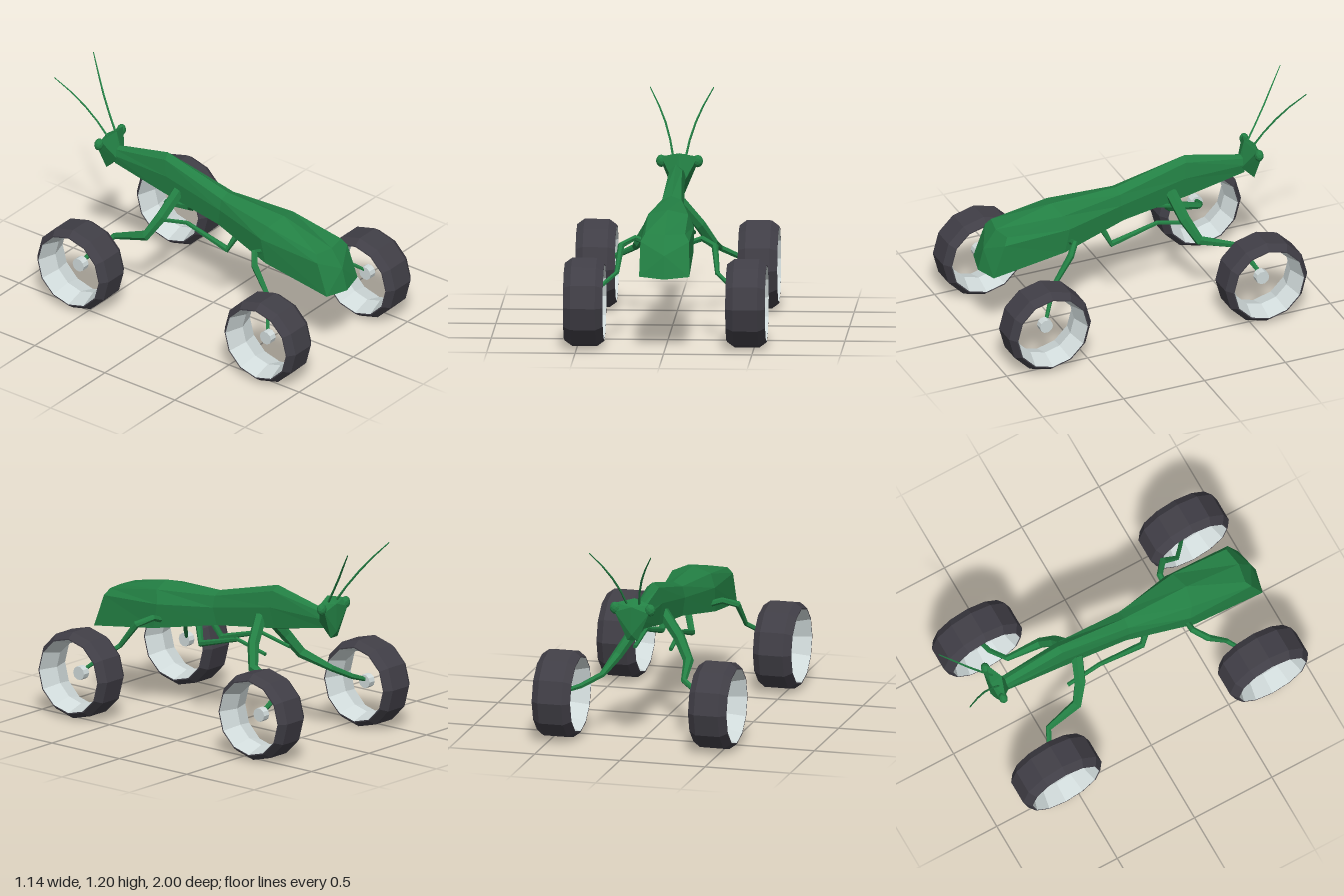
import * as THREE from 'three';
import { ConvexGeometry } from 'three/addons/geometries/ConvexGeometry.js';

const V = (x, y, z) => new THREE.Vector3(x, y, z);

// Faceted normals for a low-poly look
function facet(geo) {
  const g = geo.index ? geo.toNonIndexed() : geo;
  g.computeVertexNormals();
  return g;
}

function centroid(ring) {
  return ring.reduce((sum, p) => sum.add(p), V(0, 0, 0)).divideScalar(ring.length);
}

// Skin joining rings of points, closed with a fan at each end
function loft(rings, startTip = centroid(rings[0]), endTip = centroid(rings.at(-1))) {
  const tris = [];
  const n = rings[0].length;
  for (let i = 0; i < n; i++) {
    const j = (i + 1) % n;
    tris.push(startTip, rings[0][j], rings[0][i]);
    for (let k = 0; k < rings.length - 1; k++) {
      const a = rings[k], b = rings[k + 1];
      tris.push(a[i], a[j], b[j], a[i], b[j], b[i]);
    }
    tris.push(endTip, rings.at(-1)[i], rings.at(-1)[j]);
  }
  return facet(new THREE.BufferGeometry().setFromPoints(tris));
}

// Jointed limb: path entries are [x, y, z, radius], side is +1 or -1
function limb(path, side, sides = 6) {
  const pts = path.map(([x, y, z]) => V(x * side, y, z));
  let u = V(0.3, 0.2, 1);
  const rings = pts.map((p, i) => {
    const before = pts[Math.max(i - 1, 0)], after = pts[Math.min(i + 1, pts.length - 1)];
    const t = after.clone().sub(before).normalize();
    u = u.clone().addScaledVector(t, -u.dot(t)).normalize();
    const v = t.clone().cross(u);
    return Array.from({ length: sides }, (_, k) => {
      const a = (k / sides) * Math.PI * 2;
      return p.clone()
        .addScaledVector(u, Math.cos(a) * path[i][3])
        .addScaledVector(v, Math.sin(a) * path[i][3]);
    });
  });
  return loft(rings);
}

export function createModel() {
  const model = new THREE.Group();
  model.name = 'wheeledInsect';

  const make = (name, hex) => {
    const m = new THREE.MeshStandardMaterial({ color: hex });
    m.name = name;
    return m;
  };
  const green = make('leaf green', 0x238044);
  const rubber = make('dark rubber', 0x403e46);
  const metal = make('pale metal', 0xd0dada);

  const add = (name, geo, mat, parent = model) => {
    const mesh = new THREE.Mesh(geo, mat);
    mesh.name = name;
    parent.add(mesh);
    return mesh;
  };

  // Body ring: ridge, shoulders, flanks and keel; each as [half width, y, z]
  const bodyRing = (ridge, shoulder, flank, base, keel) => {
    const half = [base, flank, shoulder];
    return [
      ...half.map(([x, y, z]) => V(-x, y, z)),
      V(...ridge),
      ...half.reverse().map(([x, y, z]) => V(x, y, z)),
      V(...keel),
    ];
  };
  const body = [
    bodyRing([0, 0.657, 0.845], [0.113, 0.66, 0.825], [0.138, 0.62, 0.85], [0.142, 0.43, 0.92], [0, 0.42, 0.955]),
    bodyRing([0, 0.745, 0.505], [0.113, 0.715, 0.48], [0.145, 0.64, 0.45], [0.142, 0.495, 0.48], [0, 0.492, 0.5]),
    bodyRing([0, 0.757, 0.105], [0.055, 0.735, 0.1], [0.07, 0.67, 0.1], [0.06, 0.568, 0.08], [0, 0.562, 0.08]),
    bodyRing([0, 0.866, -0.325], [0.035, 0.835, -0.315], [0.05, 0.74, -0.3], [0.038, 0.62, -0.33], [0, 0.612, -0.34]),
    bodyRing([0, 0.785, -0.68], [0.028, 0.772, -0.68], [0.038, 0.735, -0.68], [0.03, 0.685, -0.68], [0, 0.678, -0.68]),
  ];
  add('body', loft(body, V(0, 0.55, 0.922)), green);

  // Wedge-shaped head
  const head = [V(0, 0.87, -0.69), V(0, 0.835, -0.76), V(0, 0.73, -0.652), V(0, 0.67, -0.76)];
  for (const s of [-1, 1]) {
    head.push(V(s * 0.105, 0.845, -0.725), V(s * 0.1, 0.8, -0.755), V(s * 0.065, 0.74, -0.725),
      V(s * 0.035, 0.72, -0.66), V(s * 0.03, 0.635, -0.74));
  }
  add('head', facet(new ConvexGeometry(head)), green);

  const antennaPath = [[0.035, 0.84, -0.725, 0.007], [0.055, 0.93, -0.785, 0.006],
    [0.085, 1.02, -0.85, 0.006], [0.125, 1.105, -0.915, 0.005], [0.18, 1.198, -0.995, 0.003]];
  const abdomenLegPath = [[0.1, 0.54, 0.44, 0.018], [0.19, 0.572, 0.44, 0.018], [0.265, 0.54, 0.5, 0.02],
    [0.285, 0.4, 0.605, 0.014], [0.35, 0.35, 0.66, 0.013], [0.46, 0.26, 0.745, 0.01]];
  const chestLegPath = [[0.03, 0.67, -0.22, 0.036], [0.14, 0.535, -0.26, 0.034], [0.21, 0.42, -0.32, 0.03],
    [0.24, 0.36, -0.52, 0.018], [0.35, 0.3, -0.575, 0.016], [0.46, 0.26, -0.595, 0.012]];
  const foldedLegPath = [[0.045, 0.58, 0.23, 0.022], [0.09, 0.45, 0.17, 0.02],
    [0.1, 0.528, -0.11, 0.013], [0.105, 0.48, -0.32, 0.012]];

  // Wheel: chamfered tyre, waisted open rim and a small hub, turned on the x axis
  const turned = (profile) => facet(new THREE.LatheGeometry(
    profile.map(([r, y]) => new THREE.Vector2(r, y)), 12).rotateZ(Math.PI / 2));
  const tyreGeo = turned([[0.215, -0.112], [0.222, -0.112], [0.253, -0.07],
    [0.253, 0.07], [0.222, 0.112], [0.215, 0.112]]);
  const rimGeo = turned([[0.215, 0.112], [0.18, 0], [0.215, -0.112]]);
  const hubGeo = facet(new THREE.CylinderGeometry(0.04, 0.04, 0.045, 10).rotateZ(Math.PI / 2));

  for (const s of [-1, 1]) {
    const side = s > 0 ? 'left' : 'right';
    const eye = add(side + 'Eye', facet(new THREE.IcosahedronGeometry(0.034, 1)), green);
    eye.position.set(s * 0.103, 0.818, -0.737);
    eye.scale.set(0.9, 1.05, 0.75);

    add(side + 'Antenna', limb(antennaPath, s, 4), green);
    add(side + 'AbdomenLeg', limb(abdomenLegPath, s), green);
    add(side + 'ChestLeg', limb(chestLegPath, s), green);
    add(side + 'FoldedLeg', limb(foldedLegPath, s), green);

    for (const [end, z] of [['Front', 0.745], ['Back', -0.592]]) {
      const wheel = new THREE.Group();
      wheel.name = side + end + 'Wheel';
      wheel.position.set(s * 0.459, 0.254, z);
      add('tyre', tyreGeo, rubber, wheel);
      add('rim', rimGeo, metal, wheel);
      add('hub', hubGeo, metal, wheel);
      model.add(wheel);
    }
  }
  return model;
}
